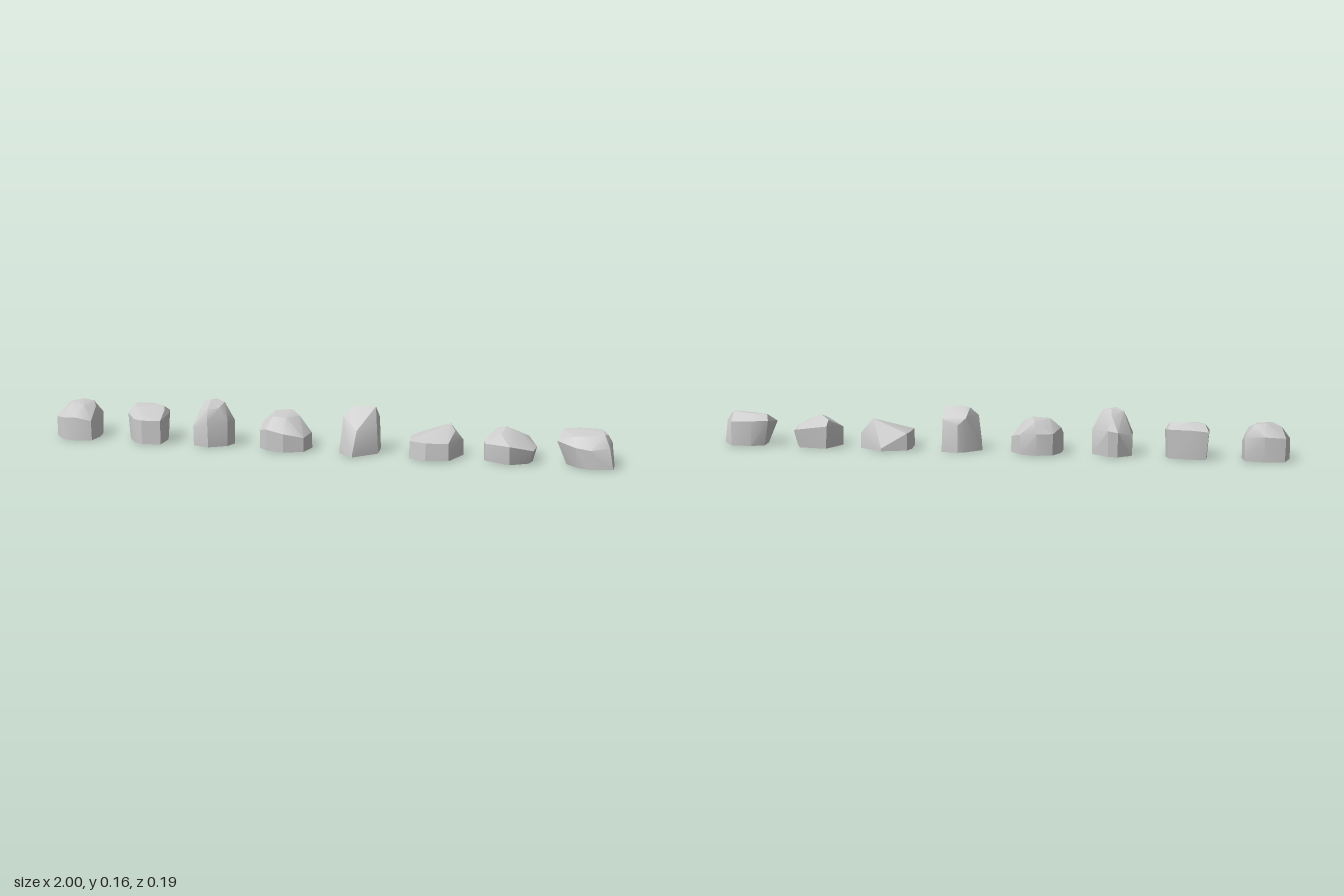
import * as THREE from 'three';
import { ConvexGeometry } from 'three/addons/geometries/ConvexGeometry.js';
import { toCreasedNormals } from 'three/addons/utils/BufferGeometryUtils.js';

const material = new THREE.MeshStandardMaterial({ color: 0xcccccc, side: THREE.DoubleSide });

// Drops the ground facets so the shell is open underneath
function openBase(geometry) {
  const source = geometry.getAttribute('position').array;
  const kept = [];
  for (let i = 0; i < source.length; i += 9) {
    if (Math.max(source[i + 1], source[i + 4], source[i + 7]) > 0.001) kept.push(...source.slice(i, i + 9));
  }
  return new THREE.BufferGeometry().setAttribute('position', new THREE.Float32BufferAttribute(kept, 3));
}

// One chipped boulder shell, in hundredths of a unit around its own centre.
// belt: [x, z, shoulder height, foot scale] around the widest outline
// crown: [x, y, z] corners of the upper facets
function rock(name, centreX, belt, crown) {
  const points = crown.map(([x, y, z]) => new THREE.Vector3(x, y, z));
  for (const [x, z, height, foot] of belt) {
    points.push(new THREE.Vector3(x, height, z));
    points.push(new THREE.Vector3(x * foot, 0, z * foot));
  }
  const shell = openBase(new ConvexGeometry(points)).scale(0.01, 0.01, 0.01);
  // Soften the shallow creases, keep the chipped edges crisp
  const mesh = new THREE.Mesh(toCreasedNormals(shell, 0.5), material);
  mesh.name = name;
  mesh.position.x = centreX;
  return mesh;
}

export function createModel() {
  const group = new THREE.Group();
  group.name = 'rockRow';
  group.add(
    // Domed rock with a rounded back
    rock('domedRock', -0.92,
      [[-6.5, -6, 8, 0.97], [0.5, -7.5, 8.5, 0.95], [7, -6.5, 8, 0.97], [8, 0, 6, 1],
        [7.2, 6, 7, 1.03], [1.5, 7.3, 8.3, 1.06], [-3, 6.5, 8, 1.05], [-8, 1, 7, 1]],
      [[-5, 11.7, -3.5], [-2, 12.5, 0.5], [3, 12, 2], [6, 11, -2], [4, 12.3, -5], [0, 13, -5]]),
    // Blocky rock with a tilted flat top
    rock('blockyRock', -0.655,
      [[-7.5, -6.8, 9.5, 0.88], [-2, -7, 10, 0.92], [6.5, -6, 10, 0.92], [7.5, -1.5, 9.5, 0.96],
        [7.2, 6.5, 8.5, 1], [0.5, 7.4, 8.5, 1], [-3, 5.5, 8.5, 0.98], [-7.5, -0.5, 9.5, 0.9]],
      [[-6, 12.3, -5], [0, 12.5, -5.5], [5.5, 12, -3], [6.5, 11, 0], [0.5, 10.5, 4], [-4, 11.7, 0]]),
    // Tall narrow rock
    rock('tallRock', -0.4,
      [[-7, -3, 7, 0.98], [-2.5, -7.3, 8.5, 0.9], [1, -7, 9, 0.9], [7, -1.5, 8.5, 0.99],
        [5.7, 3, 9, 0.97], [-0.5, 7.3, 9, 0.93], [-6.5, 5, 7, 0.98]],
      [[-3.8, 15.2, -1], [-1, 16.2, 1], [0.5, 16, -1.5], [3.8, 15.2, 0], [2.5, 13.5, 3.5],
        [-1, 13.3, 5.3], [-4.5, 12.5, 3], [0, 14, -4.5]]),
    // Round squat rock
    rock('roundRock', -0.138,
      [[-8.5, -1.5, 9, 1], [-6.5, -7.3, 7.5, 0.95], [-1, -8.8, 7.5, 0.95], [5, -7.3, 7, 0.97],
        [8.8, -2, 5.5, 1.02], [7.7, 5.5, 5, 1], [1, 8, 6.5, 0.96], [-5.5, 6.5, 7.5, 0.97], [-8.7, 3, 6.5, 1]],
      [[-5, 12.4, -3.5], [1, 13, -4.5], [0, 11.5, -7], [4.5, 11.2, -2], [1, 11.3, 3], [-4, 11.5, 2.5]]),
    // Upright wedge with a steep front ridge
    rock('uprightRock', 0.125,
      [[-7, -1, 1, 1], [-2.2, -6, 12, 1], [0.5, -7.3, 9.5, 1.02], [6, -6.3, 11.5, 1.06],
        [7, 1.5, 1, 1], [-0.5, 9.3, 0.5, 1], [-6, 4, 2, 1]],
      [[-5.7, 12.4, -0.5], [-3, 15.3, -2.5], [-0.5, 15.8, -2.7], [5.3, 15.7, -2.7], [6.2, 10, 0], [0.3, 8.5, 5.5]]),
    // Low flat rock with an off-centre peak
    rock('lowRock', 0.393,
      [[-8.8, -2.5, 6.3, 1.02], [-8, -6.3, 6, 1], [0.5, -9.3, 1, 1], [9, -4, 5.5, 1.02],
        [5.5, 6.3, 6, 1.03], [-2, 8, 6, 1.05], [-8, 5.2, 6, 1.03]],
      [[-5, 7.5, -5], [0, 8.8, -5], [4.5, 10.8, -4.5], [6.5, 8.8, -2], [4, 7.2, 4], [-5, 7, 3]]),
    // Faceted rock, undercut on the right and front
    rock('facetedRock', 0.652,
      [[-9, 1.5, 6.5, 0.98], [-5.5, -8.3, 8, 0.93], [5.5, -7.5, 6.5, 0.88], [8.7, -1, 5, 0.85],
        [8, 4, 4.5, 0.82], [0.5, 8.5, 6.5, 0.84], [-8.5, 3, 6, 0.98]],
      [[-5.5, 10, -5.5], [-2, 11.3, -2], [3, 9.4, -2], [5.5, 7.8, -5], [-3, 9.5, 3]]),
    // Broad rock with an upright end, undercut on the left
    rock('broadRock', 0.902,
      [[-9.5, 1.5, 8, 0.65], [-8.5, -6.3, 9, 0.78], [-2.5, -7.7, 9, 0.92], [5, -6.8, 8.5, 1.02],
        [8.7, -0.3, 8, 1.11], [8.2, 4.7, 7, 1.16], [2, 7.5, 6.5, 0.98], [-3, 6.5, 7, 0.8]],
      [[-7.5, 11.2, -4], [-2, 11.5, -5], [5, 11.8, -3], [7.3, 10.6, 0], [6.3, 11, 2.5], [1, 10.5, 3.5], [-4, 10, 3.5]]),
  );
  return group;
}
